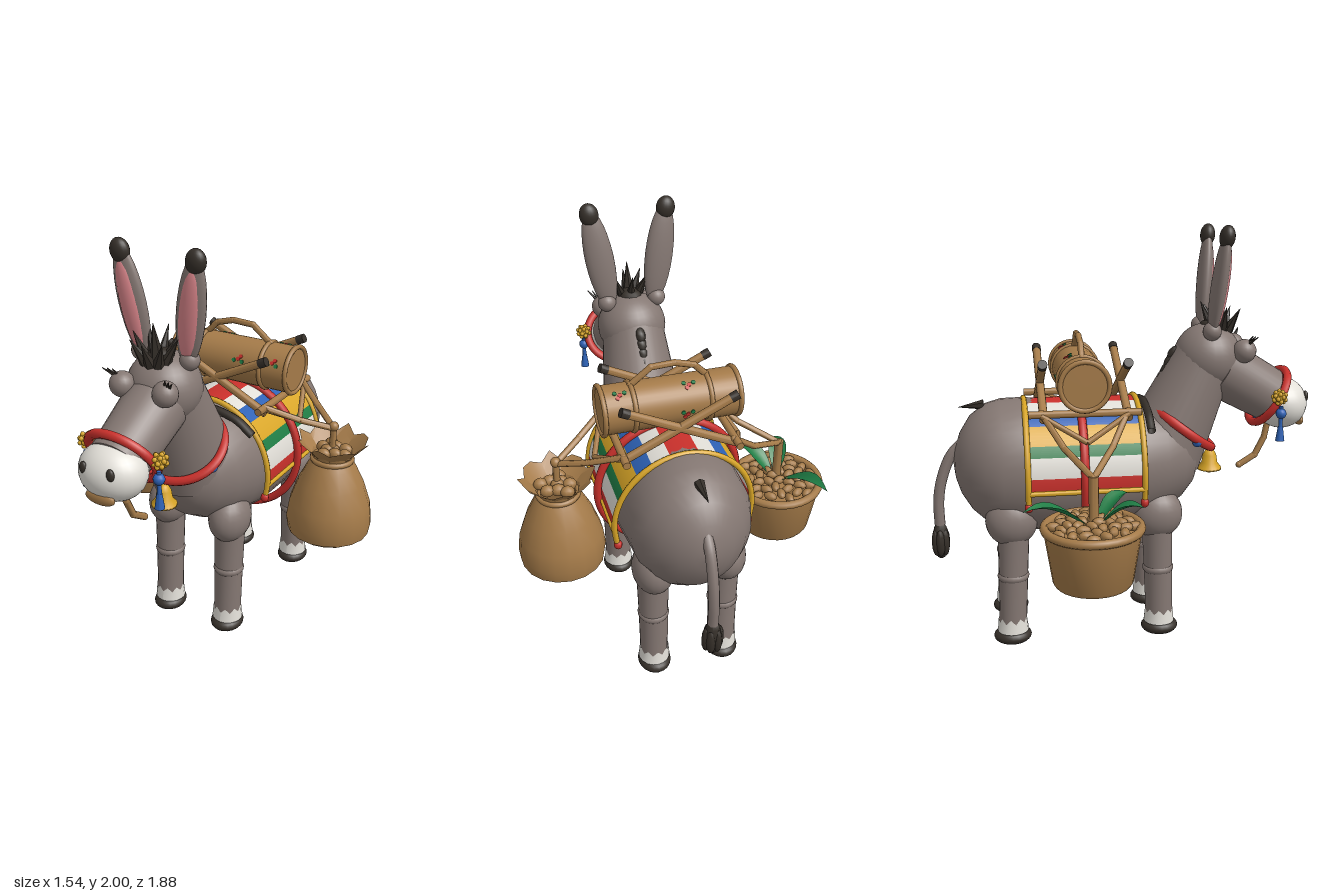
import * as THREE from 'three';
import { toCreasedNormals } from 'three/addons/utils/BufferGeometryUtils.js';

const V = (x, y, z) => new THREE.Vector3(x, y, z);
const UP = V(0, 1, 0);

export function createModel() {
  const mat = (name, color) => new THREE.MeshStandardMaterial({ name, color, side: THREE.DoubleSide });
  const grey = mat('greyCoat', 0x857873), dark = mat('darkHair', 0x352f29), white = mat('white', 0xe2dfd8),
    pink = mat('innerEarPink', 0xd9858a), red = mat('red', 0xc9302b), gold = mat('gold', 0xd9a627),
    tan = mat('tan', 0xa57b49), blue = mat('blue', 0x2d62b6), green = mat('green', 0x1f7d45);

  const root = new THREE.Group();
  root.name = 'packDonkey';
  const donkey = new THREE.Group();
  donkey.name = 'donkeyAndLoad';
  donkey.position.x = 0.03;
  root.add(donkey);

  const add = (name, geo, m, p = V(0, 0, 0), parent = donkey) => {
    const mesh = new THREE.Mesh(geo, m);
    mesh.name = name;
    mesh.position.copy(p);
    parent.add(mesh);
    return mesh;
  };
  const ball = (name, m, p, rx, ry = rx, rz = rx, seg = 20) =>
    add(name, new THREE.SphereGeometry(1, seg, Math.ceil(seg * 0.7)).scale(rx, ry, rz), m, p);
  const rod = (name, m, a, b, ra, rb = ra, seg = 14) => {
    const o = add(name, toCreasedNormals(new THREE.CylinderGeometry(rb, ra, a.distanceTo(b), seg), 0.8), m, a.clone().lerp(b, 0.5));
    o.quaternion.setFromUnitVectors(UP, b.clone().sub(a).normalize());
    return o;
  };
  // rods with round joints along a bent path
  const branch = (name, m, pts, r) => pts.forEach((p, i) => {
    ball(name + 'Joint', m, p, r * 1.05, r * 1.05, r * 1.05, 10);
    if (i) rod(name, m, pts[i - 1], p, r, r, 10);
  });
  const tube = (name, m, pts, r, closed = false) =>
    add(name, new THREE.TubeGeometry(new THREE.CatmullRomCurve3(pts, closed), closed ? 64 : 32, r, 8, closed), m);
  const cluster = (name, m, p, r, n = 22) => {
    ball(name, m, p, r * 0.8, r * 0.8, r * 0.8, 10);
    for (let i = 0; i < n; i++) {
      const y = 1 - (2 * i + 1) / n, s = Math.sqrt(1 - y * y), a = i * 2.4;
      ball(name + 'Tuft', m, p.clone().add(V(s * Math.cos(a), y, s * Math.sin(a)).multiplyScalar(r * 0.8)), r * 0.3, r * 0.3, r * 0.3, 7);
    }
  };

  // body: elliptical sections [z, centre y, rx, ry] from rump to chest
  const sections = [[-0.815, 0.88, 0, 0], [-0.805, 0.88, 0.06, 0.075], [-0.78, 0.88, 0.125, 0.15], [-0.73, 0.88, 0.195, 0.23],
    [-0.66, 0.875, 0.25, 0.29], [-0.58, 0.87, 0.28, 0.318], [-0.48, 0.865, 0.287, 0.325], [-0.3, 0.85, 0.3, 0.325],
    [-0.1, 0.85, 0.3, 0.32], [0.08, 0.86, 0.285, 0.295], [0.2, 0.87, 0.25, 0.26], [0.29, 0.88, 0.205, 0.215],
    [0.35, 0.89, 0.145, 0.155], [0.385, 0.9, 0.07, 0.075], [0.393, 0.9, 0, 0]];
  const N = 36, pos = [], idx = [];
  sections.forEach(([z, yc, rx, ry], i) => {
    for (let j = 0; j < N; j++) {
      const a = (j / N) * Math.PI * 2;
      pos.push(rx * Math.cos(a), yc + ry * Math.sin(a), z);
      if (i) {
        const p = (i - 1) * N + j, q = (i - 1) * N + (j + 1) % N;
        idx.push(p, q, p + N, q, q + N, p + N);
      }
    }
  });
  const bodyGeo = new THREE.BufferGeometry();
  bodyGeo.setAttribute('position', new THREE.Float32BufferAttribute(pos, 3));
  bodyGeo.setIndex(idx);
  bodyGeo.computeVertexNormals();
  add('body', bodyGeo, grey);
  ball('whiteBelly', white, V(0, 0.745, -0.19), 0.24, 0.238, 0.35, 28);

  // neck and head
  rod('neck', grey, V(0, 0.9, 0.2), V(0, 1.38, 0.42), 0.21, 0.15, 28);
  ball('skull', grey, V(0, 1.37, 0.43), 0.17, 0.165, 0.165, 28);
  rod('snout', grey, V(0, 1.31, 0.5), V(0, 1.15, 0.785), 0.145, 0.13, 28);
  ball('whiteMuzzle', white, V(0, 1.13, 0.81), 0.155, 0.128, 0.13, 28);
  ball('mouth', tan, V(0, 1.045, 0.905), 0.075, 0.032, 0.02);
  branch('leadRope', tan, [V(0, 1.03, 0.75), V(0, 0.95, 0.735), V(0, 0.86, 0.69), V(0, 0.81, 0.61)], 0.016);

  for (const s of [-1, 1]) {
    ball('nostril', dark, V(s * 0.068, 1.17, 0.917), 0.019, 0.028, 0.014, 12);
    ball('closedEyelid', grey, V(s * 0.11, 1.41, 0.585), 0.057);
    for (let i = -1; i <= 1; i++)
      rod('eyelash', dark, V(s * (0.13 + i * 0.012), 1.45, 0.6), V(s * (0.155 + i * 0.022), 1.485, 0.625 + i * 0.006), 0.008, 0.002, 5);
    // ears
    const base = V(s * 0.11, 1.49, 0.42), tip = V(s * 0.185, 1.96, 0.465);
    const q = new THREE.Quaternion().setFromUnitVectors(UP, tip.clone().sub(base).normalize());
    const mid = base.clone().lerp(tip, 0.5);
    ball('ear', grey, mid, 0.07, 0.25, 0.036).quaternion.copy(q);
    ball('innerEar', pink, mid.clone().add(V(0, -0.01, 0.014)), 0.05, 0.205, 0.029).quaternion.copy(q);
    ball('earTip', dark, V(s * 0.186, 1.945, 0.464), 0.046, 0.055, 0.036).quaternion.copy(q);
    ball('earBase', grey, V(s * 0.125, 1.51, 0.42), 0.045);
    // halter ornaments
    cluster('halterPompom', gold, V(s * 0.188, 1.195, 0.745), 0.038);
    ball('tasselBead', blue, V(s * 0.188, 1.115, 0.755), 0.026, 0.026, 0.026, 12);
    rod('tasselCord', blue, V(s * 0.188, 1.15, 0.755), V(s * 0.188, 1.03, 0.755), 0.01);
    rod('tasselEnd', blue, V(s * 0.188, 0.98, 0.755), V(s * 0.188, 1.05, 0.755), 0.022, 0.012);
    ball('collarBead', blue, V(s * 0.19, 0.99, 0.345), 0.025, 0.025, 0.025, 12);

    // legs
    for (const [top, foot, front] of [[0.155, 0.172, true], [-0.54, -0.56, false]]) {
      const x = s * 0.173, n = front ? 'front' : 'back', at = y => V(x, y, THREE.MathUtils.lerp(foot, top, y / 0.6));
      ball(n + 'Haunch', grey, V(x, 0.635, front ? 0.155 : -0.548), 0.098, 0.125, 0.125);
      rod(n + 'UpperLeg', grey, at(0.36), at(0.6), 0.07, 0.076, 20);
      rod(n + 'LowerLeg', grey, at(0.05), at(0.36), 0.066, 0.07, 20);
      ball(n + 'Knee', grey, at(0.355), 0.075, 0.04, 0.077);
      const fluff = new THREE.CylinderGeometry(0.069, 0.076, 0.05, 18, 1, true), fp = fluff.attributes.position;
      for (let i = 0; i < 19; i++) if (i % 2) fp.setY(i, fp.getY(i) + 0.025);
      fluff.computeVertexNormals();
      add(n + 'Fetlock', fluff, white, at(0.095));
      ball(n + 'Hoof', dark, V(x, 0.042, foot), 0.08, 0.042, 0.092);
    }
  }

  // forelock, mane and shoulder band
  ball('forelock', dark, V(0, 1.525, 0.45), 0.06, 0.03, 0.06, 10);
  for (let i = 0; i < 8; i++) {
    const a = (i / 8) * Math.PI * 2;
    const c = V(Math.sin(a), 0, Math.cos(a));
    rod('forelockSpike', dark, V(0.045 * c.x, 1.5, 0.49 + 0.04 * c.z), V(0.115 * c.x, 1.62 - 0.02 * c.z, 0.49 + 0.1 * c.z), 0.028, 0.001, 6);
  }
  rod('forelockSpike', dark, V(0, 1.5, 0.48), V(0, 1.675, 0.505), 0.035, 0.001, 6);
  for (let i = 0; i < 9; i++) {
    const t = i / 8;
    const o = ball('maneTuft', dark, V(0, 1.39 - 0.31 * t, 0.265 - 0.135 * t), 0.027, 0.042, 0.03, 8);
    o.rotation.x = 0.7;
  }
  tube('shoulderBand', dark, [V(-0.26, 1.07, 0.11), V(-0.17, 1.13, 0.11), V(0, 1.16, 0.11), V(0.17, 1.13, 0.11), V(0.26, 1.07, 0.11)], 0.02);

  // tail
  tube('tail', grey, [V(0, 0.98, -0.77), V(0, 0.92, -0.825), V(0, 0.8, -0.875), V(0, 0.69, -0.895), V(0, 0.57, -0.895)], 0.026);
  ball('tailTuft', dark, V(0, 0.49, -0.895), 0.04, 0.1, 0.04, 10);
  for (let i = 0; i < 6; i++)
    ball('tailLock', dark, V(0.03 * Math.cos(i * 1.047), 0.48, -0.895 + 0.025 * Math.sin(i * 1.047)), 0.022, 0.07, 0.022, 8);
  rod('rumpTuft', dark, V(0, 1.165, -0.66), V(0, 1.155, -0.78), 0.025, 0.001, 6);

  // halter, collar and bell
  const ring = (name, c, rx, ry, tilt, r) => {
    const pts = [];
    for (let i = 0; i < 24; i++) {
      const a = (i / 24) * Math.PI * 2;
      pts.push(V(rx * Math.cos(a), ry * Math.sin(a), 0).applyAxisAngle(V(1, 0, 0), tilt).add(c));
    }
    tube(name, red, pts, r, true);
  };
  ring('halter', V(0, 1.165, 0.745), 0.165, 0.15, 0.555, 0.021);
  ring('collar', V(0, 1.035, 0.3), 0.205, 0.19, -0.94, 0.022);
  const lathe = (pts, seg) => new THREE.LatheGeometry(pts.map(p => new THREE.Vector2(...p)), seg);
  add('bell', lathe([[0, 0.9], [0.02, 0.895], [0.034, 0.87], [0.04, 0.83], [0.06, 0.805], [0.06, 0.795], [0, 0.795]], 20), gold, V(0, 0, 0.455));
  ball('bellClapper', gold, V(0, 0.792, 0.455), 0.018, 0.018, 0.018, 10);

  // striped blanket: bands by angle from the top, mirrored
  const bands = [[0, 0.2, red], [0.2, 0.47, white], [0.47, 0.72, blue], [0.72, 1.02, gold], [1.02, 1.18, green], [1.18, 1.46, white], [1.46, 1.62, red], [1.62, 1.67, gold]];
  const arc = (a, z, k = 0) => V((0.328 + k) * Math.sin(a), 0.84 + (0.345 + k) * Math.cos(a), z);
  for (const [a0, a1, m] of bands) for (const s of [-1, 1]) {
    const g = new THREE.CylinderGeometry(1, 1, 0.53, 6, 1, true, s > 0 ? a0 : -a1, a1 - a0);
    add('blanketStripe', g.rotateX(-Math.PI / 2).scale(0.328, 0.345, 1), m, V(0, 0.84, -0.2));
  }
  for (const z of [0.07, -0.47]) {
    tube('blanketTrim', gold, Array.from({ length: 17 }, (_, i) => arc((i - 8) / 8 * 1.8, z)), 0.014);
    for (const s of [-1, 1]) ball('trimBead', red, arc(s * 1.86, z), 0.02, 0.024, 0.02, 10);
  }
  for (const s of [-1, 1]) rod('blanketHem', gold, arc(s * 1.66, 0.07), arc(s * 1.66, -0.47), 0.012);
  ring('girth', V(0, 0.85, -0.21), 0.345, 0.34, 0, 0.02);

  // pack frame: crossed poles and side rails
  for (const z of [0, -0.39]) for (const s of [-1, 1]) {
    rod('framePole', tan, V(-s * 0.27, 1.14, z), V(s * 0.25, 1.39, z), 0.02);
    rod('poleCap', dark, V(s * 0.23, 1.38, z), V(s * 0.265, 1.397, z), 0.022);
  }
  for (const s of [-1, 1]) rod('frameRail', tan, V(s * 0.26, 1.165, 0.06), V(s * 0.26, 1.165, -0.46), 0.018);

  // log with bands, rope handle and painted dots
  rod('log', tan, V(-0.315, 1.3, -0.205), V(0.315, 1.3, -0.205), 0.113, 0.113, 28);
  for (const x of [-0.313, -0.175, 0.175, 0.313])
    add('logBand', new THREE.TorusGeometry(0.112, 0.012, 8, 32).rotateY(Math.PI / 2), tan, V(x, 1.3, -0.205));
  branch('logHandle', tan, [V(-0.175, 1.41, -0.205), V(-0.12, 1.465, -0.205), V(-0.03, 1.49, -0.205), V(0.08, 1.485, -0.205), V(0.175, 1.41, -0.205)], 0.015);
  for (const [x, a] of [[-0.08, -0.5], [0.235, -0.5], [-0.22, 1.9], [0.06, 1.2], [-0.06, -1.7], [0.24, 1.1]])
    [[0, 0, red], [0.022, 0.1, green], [-0.022, 0.08, green], [0.012, -0.12, red]].forEach(([dx, da, m]) => {
      const o = add('paintedDot', new THREE.CylinderGeometry(0.01, 0.01, 0.006, 8), m,
        V(x + dx, 1.3 + 0.114 * Math.cos(a + da), -0.205 + 0.114 * Math.sin(a + da)));
      o.rotation.x = a + da;
    });

  // hanging ropes
  for (const z of [0, -0.4]) {
    branch('sackRope', tan, [V(0.26, 1.17, z), V(0.4, 1.1, (z - 0.2) / 2), V(0.53, 1.05, -0.2)], 0.015);
    branch('basketRope', tan, [V(-0.25, 1.17, z), V(-0.39, 1.04, z * 0.55 - 0.09), V(-0.57, 0.95, -0.2)], 0.015);
    rod('railRope', tan, V(0.27, 1.16, z), V(0.35, 1.05, -0.2), 0.013);
    rod('railRope', tan, V(-0.27, 1.16, z), V(-0.35, 1.05, -0.2), 0.013);
  }
  rod('basketHanger', tan, V(-0.57, 0.72, -0.2), V(-0.57, 0.96, -0.2), 0.022);
  rod('sackHanger', tan, V(0.53, 0.93, -0.2), V(0.53, 1.06, -0.2), 0.016);
  ball('sackHook', tan, V(0.53, 1.06, -0.2), 0.024);

  // basket with nuts and leaves
  const bp = V(-0.57, 0, -0.205);
  add('basket', toCreasedNormals(lathe([[0, 0.47], [0.17, 0.47], [0.18, 0.485], [0.215, 0.71], [0.2, 0.72], [0.19, 0.69], [0, 0.69]], 28), 0.6), tan, bp);
  add('basketRim', new THREE.TorusGeometry(0.212, 0.02, 10, 36).rotateX(Math.PI / 2), tan, V(bp.x, 0.73, bp.z));
  for (let i = 0; i < 42; i++) {
    const r = 0.185 * Math.sqrt((i + 0.5) / 42), a = i * 2.4;
    const o = ball('nut', tan, V(bp.x + r * Math.cos(a), 0.765 - r * 0.15, bp.z + r * Math.sin(a)), 0.034, 0.022, 0.022, 8);
    o.rotation.y = i * 1.7;
  }
  for (const [a, len, rise] of [[-1.95, 0.3, 0.12], [1.95, 0.2, 0.1], [0.95, 0.19, 0.1]]) {
    const leaf = new THREE.PlaneGeometry(0.09, len, 4, 8), p = leaf.attributes.position;
    for (let i = 0; i < p.count; i++) {
      const t = p.getY(i) / len + 0.5, x = p.getX(i) * Math.sin(Math.PI * (0.08 + 0.92 * t));
      p.setXYZ(i, x, rise * Math.sin(t * 1.9) + Math.abs(x) * 0.5, t * len);
    }
    leaf.computeVertexNormals();
    add('leaf', leaf, green, V(bp.x + 0.03 * Math.cos(a), 0.74, bp.z + 0.03 * Math.sin(a))).rotation.y = Math.PI / 2 - a;
  }

  // sack with tied neck and ragged mouth
  const sp = V(0.53, 0, -0.205);
  add('sack', toCreasedNormals(lathe([[0, 0.485], [0.165, 0.485], [0.2, 0.51], [0.21, 0.57], [0.198, 0.66], [0.16, 0.77], [0.115, 0.86], [0.092, 0.895]], 18), 0.5), tan, sp);
  const mouth = lathe([[0.09, 0.885], [0.1, 0.92], [0.135, 0.955], [0.165, 0.985]], 20), mp = mouth.attributes.position;
  for (let i = 0; i < mp.count; i++) {
    const k = (mp.getY(i) - 0.885) / 0.1, w = Math.cos(Math.atan2(mp.getZ(i), mp.getX(i)) * 8);
    const f = 1 + 0.1 * k * w;
    mp.setXYZ(i, mp.getX(i) * f, mp.getY(i) + 0.02 * k * w, mp.getZ(i) * f);
  }
  add('sackMouth', toCreasedNormals(mouth, 0.4), tan, sp);
  add('sackTie', new THREE.TorusGeometry(0.094, 0.014, 8, 28).rotateX(Math.PI / 2), tan, V(sp.x, 0.892, sp.z));
  for (let i = 0; i < 9; i++) {
    const r = 0.028 * Math.sqrt(i), a = i * 2.4;
    ball('sackNut', tan, V(sp.x + r * Math.cos(a), 0.935, sp.z + r * Math.sin(a)), 0.034, 0.03, 0.028, 10);
  }
  return root;
}
